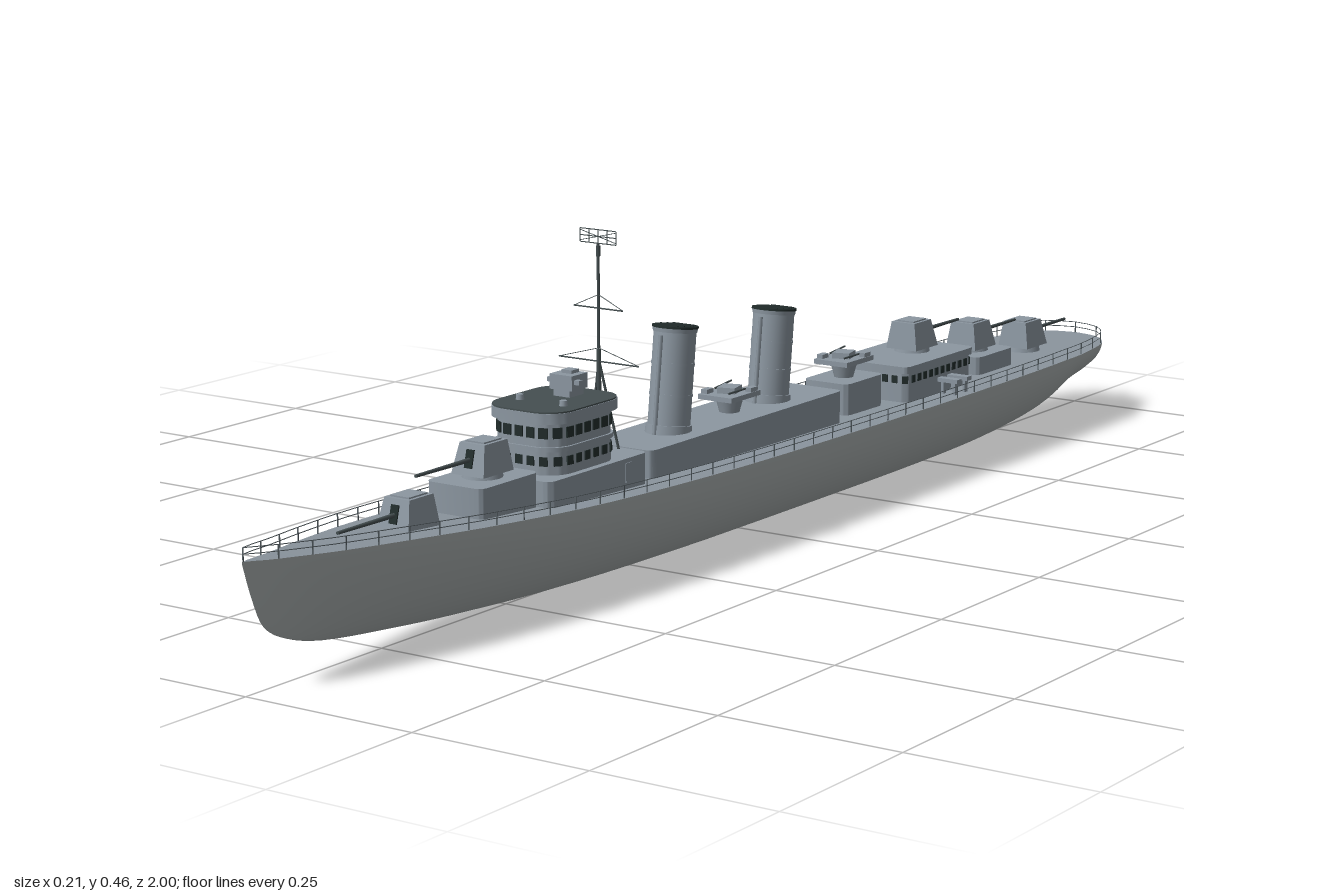
import * as THREE from 'three';
import { toCreasedNormals } from 'three/addons/utils/BufferGeometryUtils.js';

const material = (name, color, side = THREE.FrontSide) => {
  const m = new THREE.MeshStandardMaterial({ color, side });
  m.name = name;
  return m;
};

export function createModel() {
  const ship = new THREE.Group();
  ship.name = 'warship';
  const hullGrey = material('hull grey', 0xaab0b0);
  const deckGrey = material('deck grey', 0x8b959e);
  const houseGrey = material('superstructure grey', 0x8c97a1);
  const darkGrey = material('dark grey', 0x454f51);
  const black = material('window black', 0x222d2c);
  const railGrey = material('rail grey', 0x565f64, THREE.DoubleSide);

  // ---- helpers ----
  const add = (parent, name, geometry, mat, x = 0, y = 0, z = 0) => {
    const mesh = new THREE.Mesh(geometry, mat);
    mesh.name = name;
    mesh.position.set(x, y, z);
    parent.add(mesh);
    return mesh;
  };
  const group = (name, x, y, z, parent = ship) => {
    const g = new THREE.Group();
    g.name = name;
    g.position.set(x, y, z);
    parent.add(g);
    return g;
  };
  const box = (parent, name, w, h, d, mat, x, y, z) => add(parent, name, new THREE.BoxGeometry(w, h, d), mat, x, y, z);
  const V = (x, y, z) => new THREE.Vector3(x, y, z);
  const rod = (parent, name, a, b, r, mat) =>
    add(parent, name, new THREE.TubeGeometry(new THREE.LineCurve3(a, b), 1, r, 6), mat);

  // rounded plan outline, with its own radius at the front (+z) and back corners
  const plan = (hw, z0, z1, rf, rb) => {
    const s = new THREE.Shape();
    s.moveTo(-hw + rb, z0);
    s.lineTo(hw - rb, z0);
    s.absarc(hw - rb, z0 + rb, rb, -Math.PI / 2, 0);
    s.absarc(hw - rf, z1 - rf, rf, 0, Math.PI / 2);
    s.absarc(-hw + rf, z1 - rf, rf, Math.PI / 2, Math.PI);
    s.absarc(-hw + rb, z0 + rb, rb, Math.PI, Math.PI * 1.5);
    return s;
  };
  const house = (name, hw, z0, z1, y0, y1, mat = houseGrey, rf = 0.012, rb = rf) => {
    const g = new THREE.ExtrudeGeometry(plan(hw, z0, z1, rf, rb), { depth: y1 - y0, bevelEnabled: false, curveSegments: 5 });
    g.rotateX(Math.PI / 2);
    return add(ship, name, toCreasedNormals(g, 0.5), mat, 0, y1, 0);
  };
  // a row of thin panes following a plan outline
  const windows = (name, shape, count, y, w, h) => {
    const row = group(name, 0, y, 0);
    for (let i = 0; i < count; i++) {
      const u = (i + 0.5) / count, p = shape.getPointAt(u), t = shape.getTangentAt(u);
      box(row, 'pane', w, h, 0.003, black, p.x, 0, p.y).rotation.y = -Math.atan2(t.y, t.x);
    }
  };

  // ---- hull: [z, half width, keel height, deck height, section fullness] ----
  const stations = [
    [1, 0, 0.16, 0.163, 1.1], [0.985, 0.005, 0.115, 0.162, 1.1], [0.965, 0.011, 0.076, 0.16, 1.15],
    [0.925, 0.021, 0.053, 0.157, 1.2], [0.86, 0.038, 0.036, 0.153, 1.3], [0.75, 0.06, 0.023, 0.147, 1.5],
    [0.6, 0.081, 0.011, 0.138, 1.7], [0.4, 0.097, 0.003, 0.128, 1.95], [0.1, 0.104, 0, 0.119, 2.1],
    [-0.3, 0.104, 0, 0.114, 2.1], [-0.56, 0.103, 0.003, 0.113, 2.05], [-0.71, 0.101, 0.012, 0.113, 2],
    [-0.79, 0.098, 0.025, 0.113, 2], [-0.84, 0.096, 0.048, 0.113, 2], [-0.9, 0.088, 0.058, 0.113, 2],
    [-0.945, 0.077, 0.067, 0.113, 2], [-0.976, 0.057, 0.082, 0.113, 2], [-0.992, 0.034, 0.097, 0.113, 2],
    [-1, 0, 0.108, 0.113, 2],
  ];
  const curves = [1, 2, 3, 4].map(c => new THREE.SplineCurve(stations.map(s => new THREE.Vector2(s[0], s[c]))));
  const N = 72, M = 28;
  const lines = [];
  for (let i = 0; i <= N; i++) {
    const q = curves.map(c => c.getPoint(i / N));
    lines.push({ z: q[0].x, w: Math.max(0, q[0].y), k: Math.max(0, q[1].y), d: q[2].y, p: q[3].y });
  }
  const pos = [], idx = [], deckPos = [], deckIdx = [];
  lines.forEach(({ z, w, k, d, p }, i) => {
    for (let j = 0; j <= M; j++) {
      const a = (j / M - 0.5) * Math.PI, s = Math.sin(a);
      const x = Math.sign(s) * Math.pow(Math.abs(s), 2 / p) * w;
      pos.push(x, k + (d - k) * (1 - Math.pow(Math.max(0, Math.cos(a)), 2 / p)), z);
      if (i < N && j < M) {
        const n = i * (M + 1) + j, m = n + M + 1;
        idx.push(n, m, n + 1, n + 1, m, m + 1);
      }
    }
    deckPos.push(-w, d, z, w, d, z);
    if (i < N) deckIdx.push(2 * i, 2 * i + 1, 2 * i + 2, 2 * i + 1, 2 * i + 3, 2 * i + 2);
  });
  const surface = (p, ix) => {
    const g = new THREE.BufferGeometry();
    g.setAttribute('position', new THREE.Float32BufferAttribute(p, 3));
    g.setIndex(ix);
    g.computeVertexNormals();
    return g;
  };
  add(ship, 'hull', surface(pos, idx), hullGrey);
  add(ship, 'deck', surface(deckPos, deckIdx), deckGrey);

  // ---- railings ----
  const railing = group('railing', 0, 0, 0);
  const edge = [...lines.map(l => V(l.w * 0.98, l.d, l.z * 0.998)),
    ...lines.slice(1, -1).reverse().map(l => V(-l.w * 0.98, l.d, l.z * 0.998))];
  const edgeCurve = new THREE.CatmullRomCurve3(edge, true);
  for (const h of [0.009, 0.017]) {
    const c = new THREE.CatmullRomCurve3(edge.map(p => V(p.x, p.y + h, p.z)), true);
    add(railing, 'rail', new THREE.TubeGeometry(c, 160, 0.0006, 4, true), railGrey);
  }
  edgeCurve.getSpacedPoints(84).slice(0, -1).forEach(p =>
    box(railing, 'post', 0.0013, 0.017, 0.0013, railGrey, p.x, p.y + 0.0085, p.z));

  // ---- deckhouses ----
  house('forward gun house', 0.045, 0.485, 0.605, 0.11, 0.177);
  house('bridge deckhouse', 0.065, 0.275, 0.49, 0.11, 0.166);
  house('midships house', 0.055, -0.217, 0.253, 0.1, 0.161);
  house('aft platform house', 0.038, -0.355, -0.255, 0.1, 0.16);
  house('aft deckhouse', 0.06, -0.568, -0.382, 0.1, 0.157);
  house('aft deckhouse roof', 0.063, -0.572, -0.378, 0.157, 0.167);
  house('aft gun house', 0.045, -0.722, -0.615, 0.1, 0.14);
  windows('aft windows', plan(0.06, -0.568, -0.382, 0.012, 0.012), 36, 0.147, 0.009, 0.011);

  // ---- bridge ----
  house('bridge tower', 0.055, 0.325, 0.465, 0.16, 0.235, houseGrey, 0.035, 0.03);
  const tower = plan(0.055, 0.325, 0.465, 0.035, 0.03);
  windows('lower bridge windows', tower, 24, 0.184, 0.011, 0.012);
  windows('upper bridge windows', tower, 24, 0.221, 0.0125, 0.014);
  house('bridge ledge', 0.058, 0.322, 0.468, 0.197, 0.203, houseGrey, 0.036, 0.032);
  house('bridge platform', 0.062, 0.316, 0.472, 0.234, 0.248, houseGrey, 0.04, 0.035);
  house('bridge roof', 0.061, 0.317, 0.471, 0.247, 0.25, darkGrey, 0.039, 0.034);
  box(ship, 'director base', 0.026, 0.012, 0.03, houseGrey, 0, 0.255, 0.362);
  box(ship, 'director', 0.036, 0.02, 0.034, houseGrey, 0, 0.269, 0.362);
  box(ship, 'rangefinder', 0.052, 0.006, 0.008, houseGrey, 0, 0.27, 0.37);
  box(ship, 'director hood', 0.016, 0.005, 0.016, houseGrey, 0, 0.281, 0.358);
  for (const s of [-1, 1]) {
    add(ship, 'lookout post', new THREE.CylinderGeometry(0.005, 0.006, 0.008, 10), houseGrey, s * 0.035, 0.253, 0.42);
    box(ship, 'bridge door', 0.003, 0.026, 0.013, houseGrey, s * 0.0645, 0.147, 0.32);
  }

  // ---- guns: tapered shield, slot, barrel ----
  const gun = (name, z, y, dir) => {
    const g = group(name, 0, y, z);
    g.rotation.y = dir > 0 ? 0 : Math.PI;
    add(g, 'gun ring', new THREE.CylinderGeometry(0.025, 0.027, 0.01, 16), houseGrey, 0, 0.002, 0);
    const shield = new THREE.BoxGeometry(0.052, 0.04, 0.062);
    const p = shield.attributes.position;
    for (let i = 0; i < p.count; i++) if (p.getY(i) > 0) p.setXYZ(i, p.getX(i) * 0.76, p.getY(i), p.getZ(i) * 0.76 - 0.003);
    shield.computeVertexNormals();
    add(g, 'gun shield', shield, houseGrey, 0, 0.025, 0);
    box(g, 'shield cap', 0.03, 0.004, 0.036, houseGrey, 0, 0.045, -0.003);
    box(g, 'barrel slot', 0.012, 0.024, 0.004, black, 0, 0.026, 0.0255).rotation.x = -0.25;
    const barrel = add(g, 'barrel', new THREE.CylinderGeometry(0.0022, 0.0032, 0.115, 10), darkGrey, 0, 0.025, 0.076);
    barrel.rotation.x = Math.PI / 2;
  };
  gun('foremost gun', 0.695, 0.137, 1);
  gun('raised forward gun', 0.545, 0.178, 1);
  gun('raised aft gun', -0.495, 0.168, -1);
  gun('middle aft gun', -0.668, 0.14, -1);
  gun('rearmost gun', -0.828, 0.116, -1);

  // ---- funnels ----
  const funnel = (name, z, top) => {
    const h = top - 0.15;
    const f = group(name, 0, 0.15, z);
    f.rotation.x = -0.12;
    f.scale.z = 1.06;
    add(f, 'casing', new THREE.CylinderGeometry(0.0285, 0.0285, h, 28), houseGrey, 0, h / 2, 0);
    add(f, 'base collar', new THREE.CylinderGeometry(0.031, 0.032, 0.02, 28), houseGrey, 0, 0.01, 0);
    for (const k of [0.4, 0.68]) add(f, 'band', new THREE.CylinderGeometry(0.0293, 0.0293, 0.003, 28), houseGrey, 0, h * k, 0);
    add(f, 'lip', new THREE.CylinderGeometry(0.0305, 0.0295, 0.006, 28), houseGrey, 0, h - 0.003, 0);
    add(f, 'cap', new THREE.CylinderGeometry(0.031, 0.031, 0.003, 28), black, 0, h + 0.001, 0);
    for (let i = -2; i <= 2; i++) box(f, 'grating', 0.05 - Math.abs(i) * 0.006, 0.0015, 0.002, black, 0, h + 0.003, i * 0.01);
    rod(f, 'steam pipe', V(0, 0.005, 0.031), V(0, h - 0.01, 0.031), 0.003, houseGrey);
  };
  funnel('forward funnel', 0.138, 0.302);
  funnel('after funnel', -0.105, 0.289);

  // ---- light gun platforms ----
  for (const [z, y] of [[-0.01, 0.16], [-0.305, 0.16]]) {
    const g = group('light gun platform', 0, y, z);
    add(g, 'pedestal', new THREE.CylinderGeometry(0.02, 0.014, 0.022, 16), houseGrey, 0, 0.011, 0);
    box(g, 'platform', 0.056, 0.007, 0.072, houseGrey, 0, 0.025, 0);
    box(g, 'mount', 0.026, 0.01, 0.03, houseGrey, 0, 0.032, 0).rotation.y = 0.25;
    for (const s of [-1, 1]) {
      rod(g, 'light barrel', V(s * 0.018, 0.033, s * -0.012), V(s * 0.024, 0.035, s * 0.04), 0.0015, darkGrey);
      box(g, 'ammunition locker', 0.01, 0.007, 0.016, houseGrey, s * 0.022, 0.031, s * -0.022);
    }
  }

  // ---- racks beside the aft deckhouse ----
  for (const s of [-1, 1]) for (const z of [-0.502, -0.474]) {
    box(ship, 'side rack', 0.034, 0.006, 0.013, houseGrey, s * 0.078, 0.134, z);
    for (const x of [0.068, 0.088]) box(ship, 'rack leg', 0.004, 0.022, 0.008, houseGrey, s * x, 0.122, z);
  }

  // ---- mast, yards and radar ----
  const mast = group('mast', 0, 0, 0.295);
  rod(mast, 'lower mast', V(0, 0.16, 0), V(0, 0.3, 0), 0.003, darkGrey);
  rod(mast, 'upper mast', V(0, 0.3, 0), V(0, 0.44, 0), 0.002, darkGrey);
  add(mast, 'mast head', new THREE.CylinderGeometry(0.003, 0.003, 0.014, 8), darkGrey, 0, 0.43, 0);
  for (const s of [-1, 1]) rod(mast, 'mast leg', V(s * 0.024, 0.16, -0.012), V(0, 0.285, 0), 0.0018, darkGrey);
  for (const [y, hw] of [[0.283, 0.065], [0.354, 0.04]]) {
    rod(mast, 'yard', V(-hw, y, 0), V(hw, y, 0), 0.001, darkGrey);
    for (const s of [-1, 1]) rod(mast, 'yard stay', V(s * hw, y, 0), V(0, y + 0.018, 0), 0.0005, darkGrey);
  }
  const radar = group('radar frame', 0, 0.449, 0, mast);
  for (const y of [-0.009, 0, 0.009]) rod(radar, 'radar bar', V(-0.029, y, 0), V(0.029, y, 0), 0.0007, darkGrey);
  for (const x of [-0.029, -0.0145, 0, 0.0145, 0.029]) rod(radar, 'radar upright', V(x, -0.009, 0), V(x, 0.009, 0), 0.0007, darkGrey);
  for (const s of [-1, 1]) rod(radar, 'radar brace', V(-0.029, s * 0.007, 0), V(0.029, -s * 0.007, 0), 0.0005, darkGrey);

  return ship;
}
